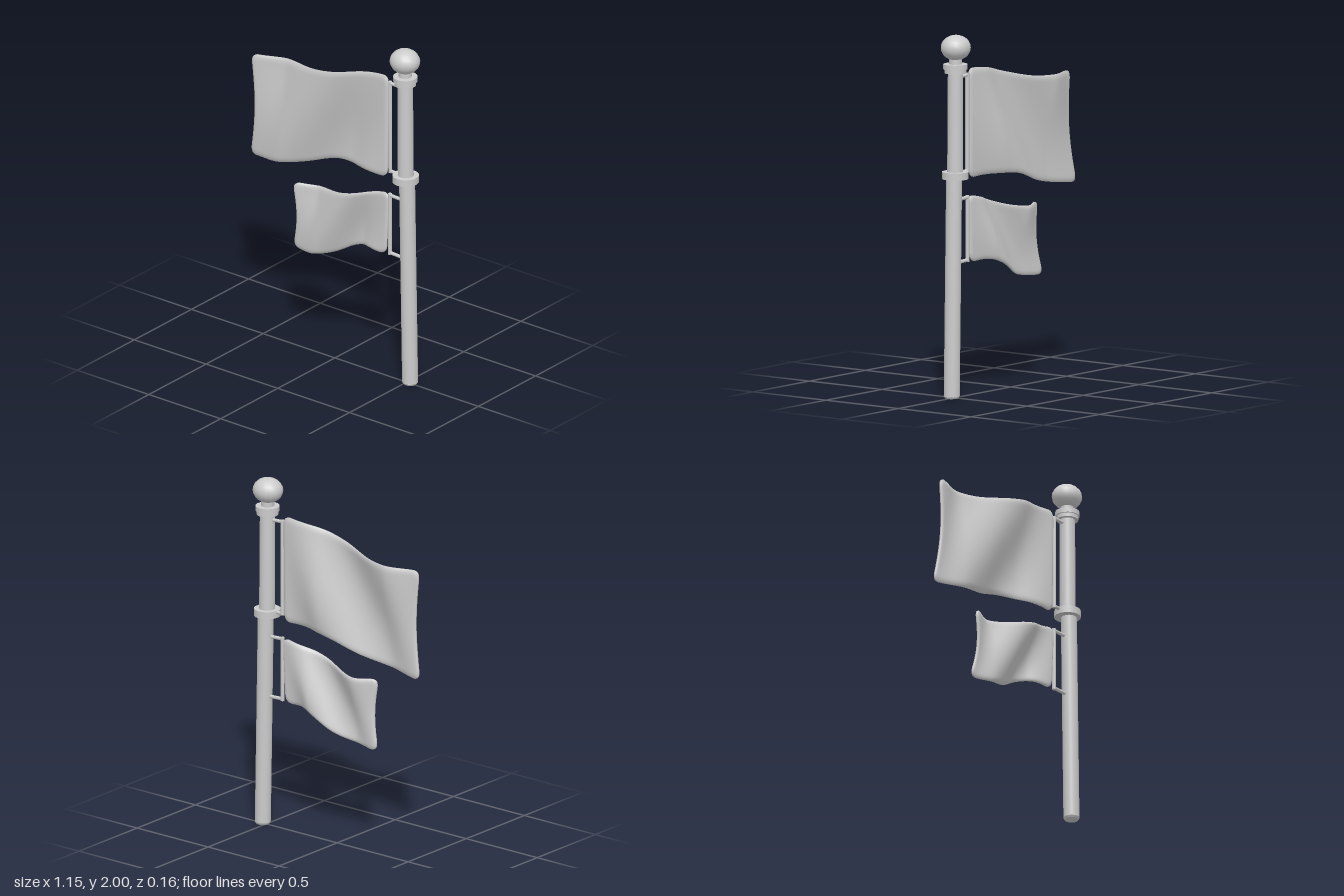
import * as THREE from 'three';
import { mergeVertices } from 'three/addons/utils/BufferGeometryUtils.js';

const metal = new THREE.MeshStandardMaterial({ color: 0xcccccc });
const { clamp, lerp, smoothstep } = THREE.MathUtils;

function add(parent, name, geometry, x = 0, y = 0, z = 0) {
  const mesh = new THREE.Mesh(geometry, metal);
  mesh.name = name;
  mesh.position.set(x, y, z);
  parent.add(mesh);
  return mesh;
}

// Round bar between two points, radii given at the start and end
function bar(parent, name, a, b, r0, r1 = r0, sides = 10) {
  const from = new THREE.Vector3(...a), to = new THREE.Vector3(...b);
  const dir = to.clone().sub(from);
  const mesh = add(parent, name, new THREE.CylinderGeometry(r1, r0, dir.length(), sides));
  mesh.position.copy(from).add(to).multiplyScalar(0.5);
  mesh.quaternion.setFromUnitVectors(new THREE.Vector3(0, 1, 0), dir.normalize());
}

const spline = (pts) => new THREE.SplineCurve(pts.map(([x, y]) => new THREE.Vector2(x, y)));

// Soft padded sheet stretched between a top and a bottom edge curve, with diagonal folds
function flagGeometry({ top, bottom, width, height, wave, crest, shift, amp }) {
  const topEdge = spline(top), bottomEdge = spline(bottom);
  let g = new THREE.BoxGeometry(width, height, 2, 56, 36, 2);
  g.deleteAttribute('uv');
  g.deleteAttribute('normal');
  g = mergeVertices(g);
  const p = g.attributes.position;
  const r = 0.055, rim = 0.03, thick = 0.011, bow = 0.03;
  for (let i = 0; i < p.count; i++) {
    let x = p.getX(i), y = p.getY(i);
    const edge = clamp(Math.min(width / 2 - Math.abs(x), height / 2 - Math.abs(y)) / rim, 0, 1);
    // round the four corners
    const cx = clamp(x, r - width / 2, width / 2 - r);
    const cy = clamp(y, r - height / 2, height / 2 - r);
    const dx = x - cx, dy = y - cy, len = Math.hypot(dx, dy);
    if (len > 0) {
      const k = Math.max(Math.abs(dx), Math.abs(dy)) / len;
      x = cx + dx * k;
      y = cy + dy * k;
    }
    const u = clamp(x / width + 0.5, 0, 1), v = clamp(0.5 - y / height, 0, 1);
    const a = topEdge.getPoint(u), b = bottomEdge.getPoint(u);
    const px = lerp(a.x, b.x, v) + bow * Math.sin(Math.PI * v) * (1 - u) ** 3;
    const py = lerp(a.y, b.y, v);
    // folds fade out towards the pole, and curl forward at the free edge
    const fade = smoothstep(1 - u, 0, 0.3);
    const phase = 2 * Math.PI * (px - crest + shift * v) / wave;
    const fold = fade * (amp * Math.cos(phase) + 0.012 * (0.5 - v));
    const curl = 1 - smoothstep(u, 0, 0.24);
    const pz = lerp(fold, 0.025 * (1 - v * v), curl);
    const t = thick * (0.4 + 0.6 * Math.sqrt(edge * (2 - edge)));
    p.setXYZ(i, px, py, pz + p.getZ(i) * t);
  }
  g.computeVertexNormals();
  return g;
}

// Bracket: upright rod with an arm to the pole at each end
function bracket(parent, name, x, yTop, yBottom, poleX) {
  const group = new THREE.Group();
  group.name = name;
  bar(group, 'uprightRod', [x, yBottom - 0.01, 0], [x, yTop + 0.01, 0], 0.011);
  for (const y of [yTop, yBottom]) bar(group, 'bracketArm', [x, y, 0], [poleX, y - 0.005, 0], 0.01);
  parent.add(group);
}

export function createModel() {
  const model = new THREE.Group();
  model.name = 'flagpole';

  // Pole in two lengths, leaning slightly, with a bevelled foot
  bar(model, 'poleFoot', [0.524, 0.001, 0], [0.524, 0.012, 0], 0.037, 0.044, 16);
  bar(model, 'lowerPole', [0.524, 0.012, 0], [0.503, 1.22, 0], 0.044, 0.044, 16);
  bar(model, 'upperPole', [0.494, 1.22, 0], [0.491, 1.82, 0], 0.044, 0.042, 16);

  // Collars, neck and ball
  bar(model, 'middleCollar', [0.493, 1.207, 0], [0.493, 1.247, 0], 0.073, 0.073, 18);
  bar(model, 'topCollarBase', [0.491, 1.79, 0], [0.491, 1.815, 0], 0.06, 0.06, 18);
  bar(model, 'topCollar', [0.491, 1.812, 0], [0.491, 1.84, 0], 0.067, 0.067, 18);
  bar(model, 'neck', [0.49, 1.83, 0], [0.489, 1.88, 0], 0.036, 0.036, 14);
  const ball = new THREE.SphereGeometry(1, 18, 12).scale(0.086, 0.07, 0.081);
  add(model, 'ballFinial', ball, 0.488, 1.93);

  bracket(model, 'upperBracket', 0.386, 1.768, 1.24, 0.48);
  bracket(model, 'lowerBracket', 0.384, 1.093, 0.747, 0.49);

  add(model, 'upperFlag', flagGeometry({
    top: [[-0.56, 1.682], [-0.38, 1.685], [-0.2, 1.695], [-0.01, 1.737], [0.18, 1.784], [0.375, 1.807]],
    bottom: [[-0.583, 1.063], [-0.38, 1.085], [-0.2, 1.125], [-0.01, 1.185], [0.18, 1.2], [0.368, 1.198]],
    width: 0.94, height: 0.61, wave: 0.82, crest: 0.03, shift: 0.45, amp: 0.041,
  }));
  add(model, 'lowerFlag', flagGeometry({
    top: [[-0.272, 0.997], [-0.14, 0.988], [-0.01, 1.005], [0.12, 1.04], [0.245, 1.077], [0.38, 1.107]],
    bottom: [[-0.287, 0.59], [-0.14, 0.6], [-0.01, 0.635], [0.12, 0.705], [0.22, 0.735], [0.36, 0.73]],
    width: 0.64, height: 0.38, wave: 0.56, crest: 0.13, shift: 0.3, amp: 0.034,
  }));

  return model;
}
